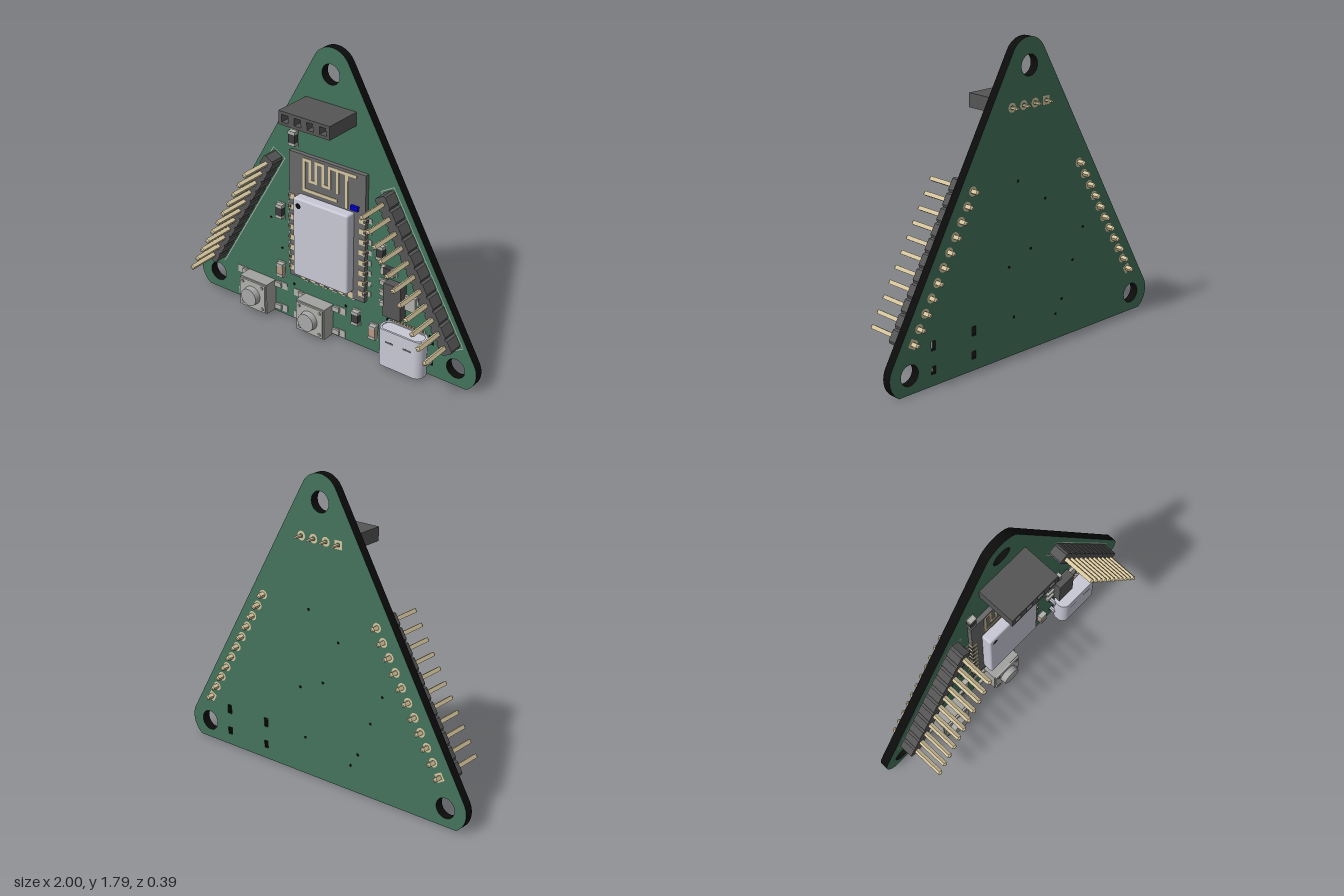
import * as THREE from 'three';
import { RoundedBoxGeometry } from 'three/addons/geometries/RoundedBoxGeometry.js';

const FRONT = -0.097, BACK = -0.15; // board faces
const GREEN = 0x43735b, BLACK = 0x0c0c0c, GOLD = 0xd6c69e, DARK = 0x555555, PALE = 0xb0b0ac, METAL = 0xc8c8d6;

const mats = {};
const mat = (color) => (mats[color] ??= new THREE.MeshStandardMaterial({ color, side: THREE.DoubleSide }));

function add(parent, name, geometry, color, x = 0, y = 0, z = 0) {
  const mesh = new THREE.Mesh(geometry, mat(color));
  mesh.name = name;
  mesh.position.set(x, y, z);
  parent.add(mesh);
  return mesh;
}

// Box given by centre x, y, size w, h and its z range
const box = (parent, name, color, x, y, w, h, z0, z1) =>
  add(parent, name, new THREE.BoxGeometry(w, h, z1 - z0), color, x, y, (z0 + z1) / 2);

function group(parent, name, x = 0, y = 0) {
  const g = new THREE.Group();
  g.name = name;
  g.position.set(x, y, 0);
  parent.add(g);
  return g;
}

function rectPath(x, y, w, h, Type = THREE.Path) {
  const p = new Type();
  p.moveTo(x - w / 2, y - h / 2).lineTo(x + w / 2, y - h / 2);
  p.lineTo(x + w / 2, y + h / 2).lineTo(x - w / 2, y + h / 2).closePath();
  return p;
}

function roundRect(w, h, r, Type) {
  const p = new Type(), a = w / 2 - r, b = h / 2 - r;
  p.absarc(a, b, r, 0, Math.PI / 2).absarc(-a, b, r, Math.PI / 2, Math.PI);
  p.absarc(-a, -b, r, Math.PI, Math.PI * 1.5).absarc(a, -b, r, Math.PI * 1.5, Math.PI * 2);
  return p.closePath();
}

const extrude = (shape, depth) =>
  new THREE.ExtrudeGeometry(shape, { depth, bevelEnabled: false, curveSegments: 16 });

// Triangular board with rounded corners, mounting holes and connector slots
function buildBoard(root) {
  const s = new THREE.Shape(), t = Math.PI / 6;
  s.moveTo(-0.94, 0).lineTo(0.94, 0);
  s.absarc(0.87, 0.11, 0.13, -1.0, t);
  s.absarc(0, 1.66, 0.13, t, Math.PI - t);
  s.absarc(-0.87, 0.11, 0.13, Math.PI - t, Math.PI + 1.0);
  for (const [x, y] of [[-0.866, 0.11], [0.866, 0.11], [-0.005, 1.635]])
    s.holes.push(new THREE.Path().absarc(x, y, 0.06, 0, Math.PI * 2, true));
  for (const x of [0.41, 0.7]) {
    s.holes.push(rectPath(x, 0.23, 0.03, 0.055));
    s.holes.push(rectPath(x, 0.09, 0.03, 0.045));
  }
  const board = add(root, 'board', extrude(s, FRONT - BACK), GREEN, 0, 0, BACK);
  board.material = [mat(GREEN), mat(BLACK)];
  // Small plated through holes, visible on both faces
  const vias = [[0.08, 1.01], [-0.13, 0.867], [-0.02, 0.6], [0.145, 0.53], [0.11, 0.227],
    [-0.437, 0.63], [-0.357, 0.45], [-0.27, 0.235], [-0.22, 0.155]];
  for (const [x, y] of vias) {
    const via = add(root, 'via', new THREE.CylinderGeometry(0.009, 0.009, FRONT - BACK + 0.002, 8), BLACK, x, y, (FRONT + BACK) / 2);
    via.rotation.x = Math.PI / 2;
  }
}

// Solder ring on the back, square for the first pin
function solderPad(parent, x, y, square) {
  const hole = new THREE.Path().absarc(0, 0, 0.014, 0, Math.PI * 2, true);
  const s = square ? rectPath(0, 0, 0.05, 0.05, THREE.Shape) : new THREE.Shape().absarc(0, 0, 0.027, 0, Math.PI * 2);
  s.holes.push(hole);
  add(parent, 'solderPad', new THREE.ShapeGeometry(s), GOLD, x, y, BACK - 0.002);
}

// Row of eleven pins in a chamfered strip
function buildPinHeader(root, side, x) {
  const g = group(root, side > 0 ? 'leftPinHeader' : 'rightPinHeader', x, 0.65);
  g.rotation.z = side * Math.PI / 6;
  const pitch = 0.0856, w = 0.038, h = pitch / 2, c = 0.012;
  const block = new THREE.Shape([[w, h - c], [w - c, h], [c - w, h], [-w, h - c], [-w, c - h], [c - w, -h], [w - c, -h], [w, c - h]]
    .map(([a, b]) => new THREE.Vector2(a, b)));
  const blockGeo = extrude(block, 0.087);
  for (let i = 0; i < 11; i++) {
    const y = (i - 5) * pitch;
    add(g, 'headerBlock', blockGeo, DARK, 0, y, FRONT);
    box(g, 'pin', GOLD, 0, y, 0.023, 0.023, -0.19, 0.18);
    const tipGeo = new THREE.CylinderGeometry(0.008, 0.0163, 0.01, 4).rotateY(Math.PI / 4).rotateX(Math.PI / 2);
    add(g, 'pinTip', tipGeo, GOLD, 0, y, 0.185);
    add(g, 'pinTip', tipGeo, GOLD, 0, y, -0.195).rotation.y = Math.PI;
    solderPad(g, 0, y, i === 0);
  }
  // Printed outline
  const outline = rectPath(0, 0, 0.1, 0.97, THREE.Shape);
  outline.holes.push(rectPath(0, 0, 0.09, 0.96));
  add(g, 'printedOutline', new THREE.ShapeGeometry(outline), PALE, 0, 0, FRONT + 0.001);
}

// Four-way female socket
function buildSocket(root) {
  const g = group(root, 'socketHeader', -0.003, 1.424);
  const s = rectPath(0, 0, 0.345, 0.081, THREE.Shape);
  const xs = [-1.5, -0.5, 0.5, 1.5].map((k) => k * 0.0856);
  for (const x of xs) s.holes.push(rectPath(x, 0, 0.045, 0.045));
  add(g, 'socketBody', extrude(s, 0.237), DARK, 0, 0, FRONT);
  xs.forEach((x, i) => {
    box(g, 'socketFloor', BLACK, x, 0, 0.045, 0.045, FRONT, 0.09);
    box(g, 'socketContact', PALE, x, 0, 0.012, 0.022, 0.09, 0.11);
    box(g, 'socketPin', GOLD, x, 0, 0.018, 0.01, -0.2, FRONT);
    solderPad(g, x, 0, i === 0);
  });
}

// Wireless module: carrier, metal can, antenna track and edge pads
function buildModule(root) {
  const g = group(root, 'wirelessModule');
  const top = -0.07;
  box(g, 'moduleCarrier', 0x686868, -0.01, 0.718, 0.535, 0.804, FRONT, top);
  add(g, 'moduleCan', new RoundedBoxGeometry(0.385, 0.504, 0.07, 2, 0.012), METAL, -0.01, 0.622, -0.04);
  add(g, 'orientationDot', new THREE.CircleGeometry(0.018, 20), BLACK, -0.163, 0.828, -0.004);
  box(g, 'indicatorLight', 0x0000cc, 0.19, 0.905, 0.05, 0.027, top, -0.052);
  const tracks = [
    [[0.055, 0.906], [-0.17, 0.906], [-0.17, 1.094], [-0.128, 1.094], [-0.128, 0.97], [-0.086, 0.97], [-0.086, 1.094],
      [-0.037, 1.094], [-0.037, 0.97], [0.01, 0.97], [0.01, 1.094], [0.187, 1.094]],
    [[0.065, 1.094], [0.065, 0.96]], [[0.128, 1.094], [0.128, 0.89]],
  ];
  for (const t of tracks)
    for (let i = 1; i < t.length; i++) {
      const [a, b] = t[i - 1], [c, d] = t[i];
      box(g, 'antennaTrack', GOLD, (a + c) / 2, (b + d) / 2, Math.abs(c - a) + 0.018, Math.abs(d - b) + 0.018, top, top + 0.003);
    }
  for (let i = 0; i < 8; i++)
    for (const s of [-1, 1]) {
      const x = -0.01 + s * 0.25, y = 0.37 + i * 0.0665;
      box(g, 'edgePad', GOLD, x, y, 0.045, 0.032, FRONT, top + 0.003);
      box(g, 'edgePadNotch', DARK, x + s * 0.015, y, 0.018, 0.018, FRONT, top + 0.004);
      box(g, 'boardPad', PALE, x + s * 0.03, y, 0.03, 0.032, FRONT, FRONT + 0.003);
    }
  for (let i = 0; i < 6; i++) {
    const x = -0.176 + i * 0.0675;
    box(g, 'edgePad', GOLD, x, 0.336, 0.032, 0.042, FRONT, top + 0.003);
    box(g, 'boardPad', PALE, x, 0.306, 0.032, 0.03, FRONT, FRONT + 0.003);
  }
}

// Push button with four bent legs
function buildButton(root, name, x, y) {
  const g = group(root, name, x, y);
  box(g, 'buttonBody', 0xa2a2a0, 0, 0, 0.206, 0.2, FRONT + 0.005, -0.005);
  box(g, 'buttonCover', PALE, 0, 0, 0.19, 0.184, -0.005, 0.005);
  add(g, 'plunger', new THREE.CylinderGeometry(0.056, 0.06, 0.04, 32).rotateX(Math.PI / 2), 0xa8a8a8, 0, 0, 0.022);
  for (const sx of [-1, 1])
    for (const sy of [-1, 1]) {
      box(g, 'leg', PALE, sx * 0.125, sy * 0.077, 0.05, 0.032, FRONT + 0.003, FRONT + 0.016);
      box(g, 'boardPad', PALE, sx * 0.155, sy * 0.077, 0.07, 0.046, FRONT, FRONT + 0.004);
      add(g, 'rivet', new THREE.CylinderGeometry(0.011, 0.011, 0.006, 12).rotateX(Math.PI / 2), 0x8c8c8c, sx * 0.075, sy * 0.072, 0.007);
    }
}

// Rounded metal port opening downwards
function buildPort(root) {
  const g = group(root, 'port', 0.553, 0.257);
  const ring = roundRect(0.294, 0.106, 0.045, THREE.Shape);
  ring.holes.push(roundRect(0.27, 0.082, 0.035, THREE.Path));
  add(g, 'portShell', extrude(ring, 0.241).rotateX(Math.PI / 2), METAL, 0, 0, -0.041);
  add(g, 'portRear', extrude(roundRect(0.28, 0.094, 0.04, THREE.Shape), 0.06).rotateX(Math.PI / 2), METAL, 0, -0.005, -0.041);
  box(g, 'portTongue', DARK, 0, -0.13, 0.19, 0.15, -0.052, -0.03);
  for (const x of [-0.143, 0.143])
    for (const y of [-0.03, -0.165]) box(g, 'shellTab', METAL, x, y, 0.012, 0.04, -0.13, -0.06);
  for (const x of [-0.06, 0.06]) box(g, 'shellSlot', DARK, x, -0.075, 0.055, 0.012, 0, 0.0125);
  for (let i = 0; i < 12; i++) box(g, 'contact', GOLD, (i - 5.5) * 0.019, 0.004, 0.01, 0.02, FRONT, FRONT + 0.01);
}

// Voltage regulator with three legs and a tab
function buildRegulator(root) {
  const g = group(root, 'regulator', 0.47, 0.417);
  box(g, 'regulatorBody', DARK, 0, 0, 0.117, 0.213, FRONT + 0.006, -0.035);
  box(g, 'regulatorTab', PALE, 0.09, 0, 0.075, 0.09, FRONT + 0.003, FRONT + 0.02);
  box(g, 'boardPad', PALE, 0.11, 0, 0.05, 0.11, FRONT, FRONT + 0.003);
  for (const y of [-0.07, 0, 0.07]) {
    box(g, 'regulatorLeg', PALE, -0.085, y, 0.06, 0.026, FRONT + 0.003, FRONT + 0.02);
    box(g, 'boardPad', PALE, -0.1, y, 0.05, 0.04, FRONT, FRONT + 0.003);
  }
}

// Two-ended chip resistor or capacitor
function buildChip(root, name, color, x, y, turned) {
  const g = group(root, name, x, y);
  if (turned) g.rotation.z = Math.PI / 2;
  box(g, 'chipBody', color, 0, 0, 0.046, 0.06, FRONT, -0.067);
  for (const s of [-1, 1]) {
    box(g, 'chipEnd', PALE, 0, s * 0.035, 0.047, 0.018, FRONT, -0.065);
    box(g, 'boardPad', PALE, 0, s * 0.038, 0.054, 0.03, FRONT, FRONT + 0.003);
  }
}

export function createModel() {
  const root = new THREE.Group();
  root.name = 'circuitBoard';
  buildBoard(root);
  buildPinHeader(root, 1, 0.625);
  buildPinHeader(root, -1, -0.61);
  buildSocket(root);
  buildModule(root);
  buildButton(root, 'resetButton', -0.511, 0.118);
  buildButton(root, 'flashButton', -0.08, 0.108);
  buildPort(root);
  buildRegulator(root);
  for (const [x, y, turned] of [[-0.257, 1.196], [-0.358, 0.703], [0.358, 0.676], [0.412, 0.574, true], [0.192, 0.188]])
    buildChip(root, 'resistor', 0x3c3c3c, x, y, turned);
  for (const [x, y] of [[-0.358, 0.311], [0.315, 0.14]]) buildChip(root, 'capacitor', 0xb59a86, x, y);
  return root;
}
